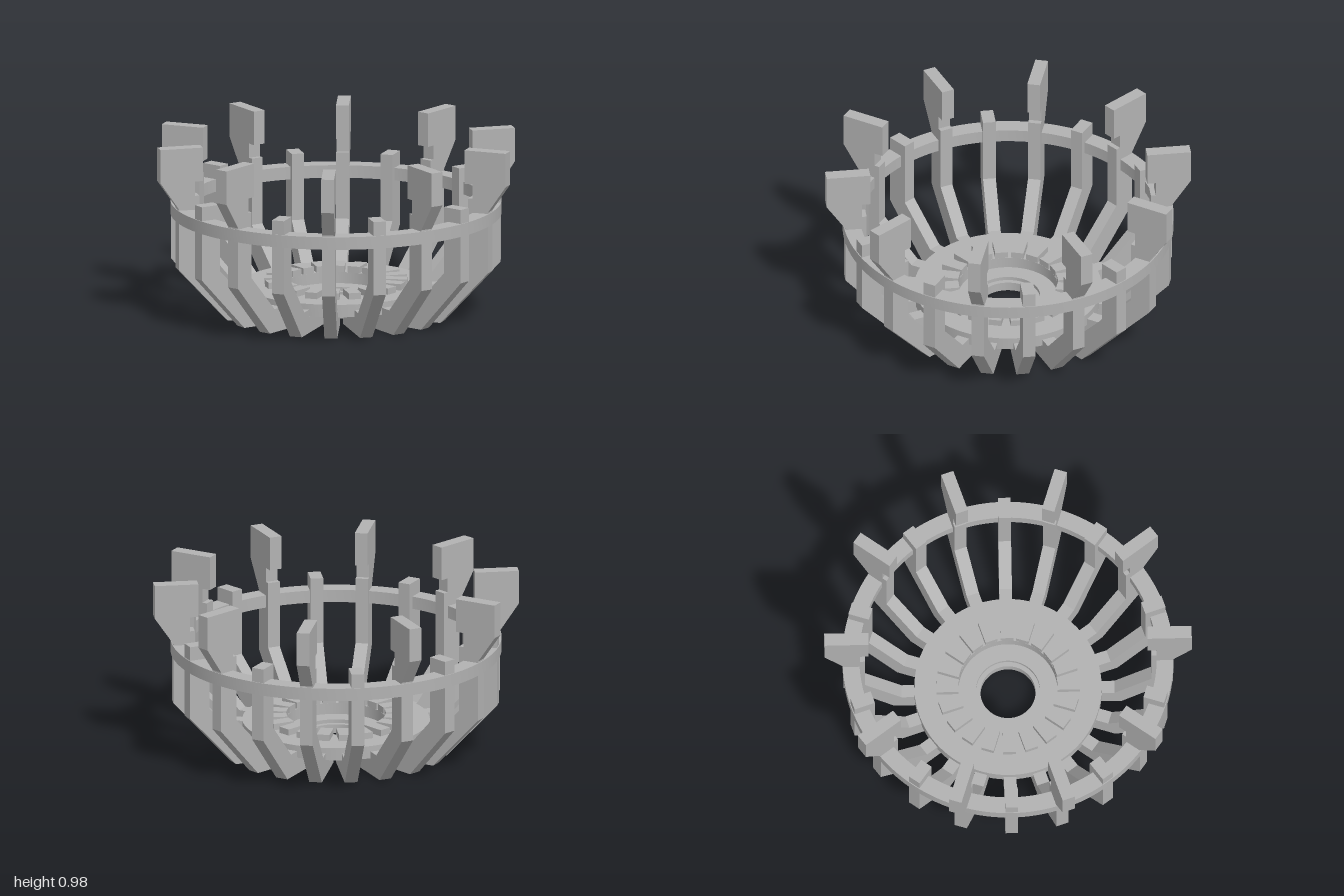
import * as THREE from 'three';
import { toCreasedNormals } from 'three/addons/utils/BufferGeometryUtils.js';

const THICK = 0.07;
const RIBS = 20;

// Flat annulus lying in the XZ plane
function ringGeometry(inner, outer, y, height) {
  const shape = new THREE.Shape().absarc(0, 0, outer, 0, Math.PI * 2, false);
  shape.holes.push(new THREE.Path().absarc(0, 0, inner, 0, Math.PI * 2, true));
  const g = new THREE.ExtrudeGeometry(shape, { depth: height, bevelEnabled: false, curveSegments: 80 });
  g.rotateX(-Math.PI / 2).translate(0, y, 0);
  return toCreasedNormals(g, 0.5);
}

// Upright rib from a profile of [radius, height] points
function ribGeometry(points) {
  const shape = new THREE.Shape(points.map(([r, y]) => new THREE.Vector2(r, y)));
  const g = new THREE.ExtrudeGeometry(shape, { depth: THICK, bevelEnabled: false });
  return g.translate(0, 0, -THICK / 2);
}

export function createModel() {
  const model = new THREE.Group();
  const gray = new THREE.MeshStandardMaterial({ color: 0xb2b2b2 });
  gray.name = 'plain gray';

  const add = (name, geometry) => {
    const mesh = new THREE.Mesh(geometry, gray);
    mesh.name = name;
    model.add(mesh);
    return mesh;
  };

  // Outer edge, the two kinds of top, then the inner edge with its locking tab
  const outer = [[0.27, 0], [0.62, 0], [0.897, 0.3]];
  const inner = [[0.78, 0.34], [0.58, 0.13], [0.51, 0.13], [0.51, 0.09],
    [0.39, 0.09], [0.39, 0.197], [0.27, 0.197]];
  const shortTop = [[0.897, 0.71], [0.78, 0.71]];
  const tallTop = [[0.897, 0.64], [1, 0.79], [1, 0.977], [0.76, 0.977], [0.76, 0.79],
    [0.807, 0.79], [0.807, 0.71], [0.78, 0.71]];
  const tall = ribGeometry([...outer, ...tallTop, ...inner]);
  const short = ribGeometry([...outer, ...shortTop, ...inner]);

  // Alternating tall and short ribs
  for (let i = 0; i < RIBS; i++) {
    const isTall = i % 2 === 0;
    const rib = add(isTall ? 'tallRib' : 'shortRib', isTall ? tall : short);
    rib.rotation.y = (i / RIBS) * Math.PI * 2;
  }

  // Hoop around the ribs, the floor disk and the hub below it
  add('outerHoop', ringGeometry(0.81, 0.902, 0.562, THICK));
  add('floorDisk', ringGeometry(0.27, 0.51, 0.092, THICK));
  add('hubDisk', ringGeometry(0.175, 0.28, 0.03, THICK));
  add('hubLip', ringGeometry(0.15, 0.176, 0.03, 0.05));
  return model;
}
